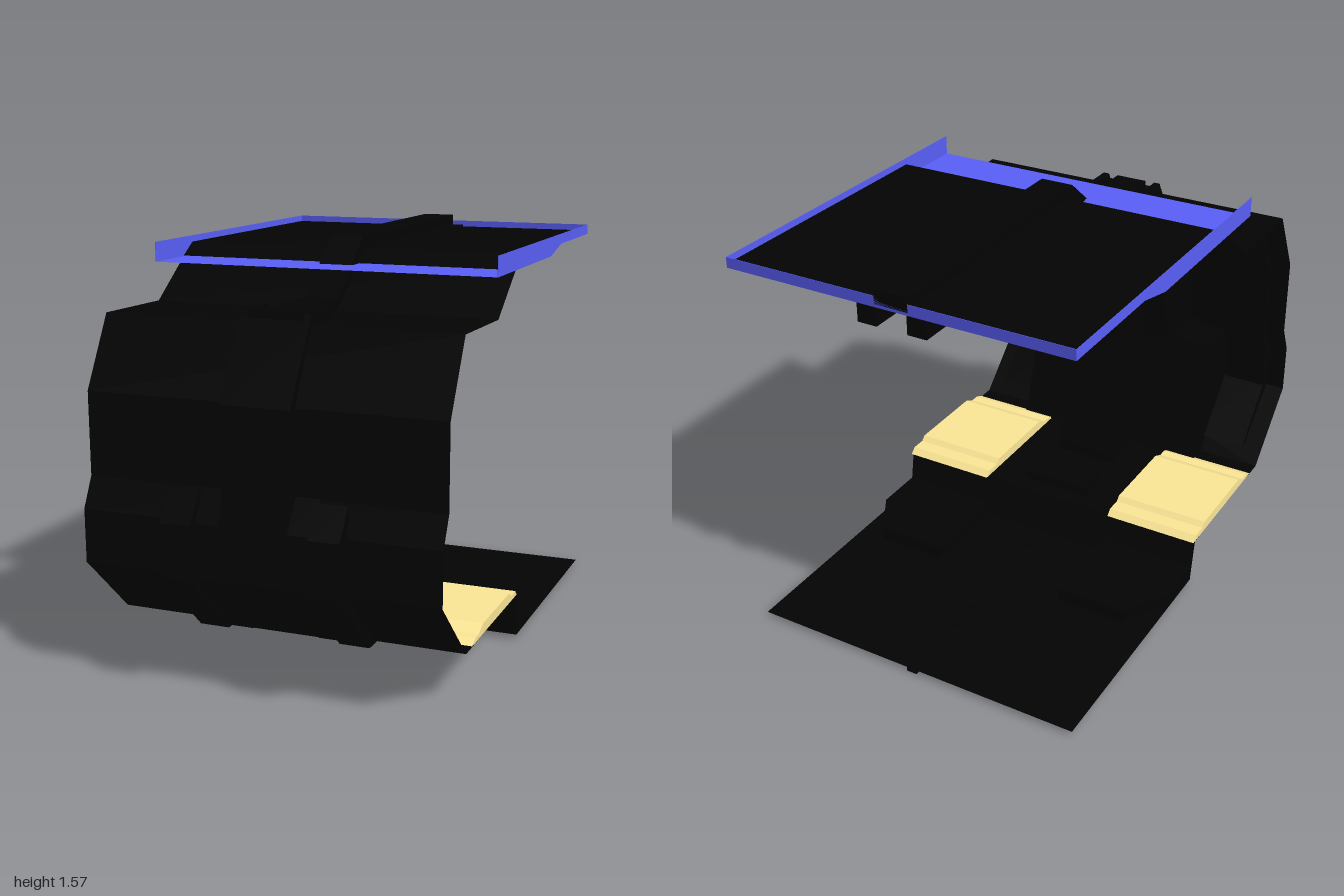
import * as THREE from 'three';

const material = (color) => new THREE.MeshStandardMaterial({
  color, flatShading: true, side: THREE.DoubleSide,
});
const BLACK = material(0x030303);
const BLUE = material(0x5a60fa);
const TAN = material(0xffea98);
const HALF = 0.676;

export function createModel() {
  const group = new THREE.Group();

  const add = (name, geometry, mat) => {
    const mesh = new THREE.Mesh(geometry, mat);
    mesh.name = name;
    group.add(mesh);
  };

  // Solid: closed [z, y] outline swept from x0 to x1
  const solid = (name, x0, x1, outline, mat = BLACK) => {
    const shape = new THREE.Shape(outline.map(([z, y]) => new THREE.Vector2(z, y)));
    const geo = new THREE.ExtrudeGeometry(shape, { depth: x1 - x0, bevelEnabled: false });
    geo.rotateY(-Math.PI / 2).translate(x1, 0, 0);
    add(name, geo, mat);
  };

  // The same solid on both sides of the centre
  const pair = (name, x0, x1, outline, mat) => {
    solid(name + 'Left', x0, x1, outline, mat);
    solid(name + 'Right', -x1, -x0, outline, mat);
  };

  // Thin sheet: open [z, y] line swept from x0 to x1
  const sheet = (name, x0, x1, line, mat = BLACK) => {
    const geo = new THREE.PlaneGeometry(1, 1, 1, line.length - 1);
    const pos = geo.attributes.position;
    for (let i = 0; i < pos.count; i++) {
      const [z, y] = line[Math.floor(i / 2)];
      pos.setXYZ(i, i % 2 ? x1 : x0, y, z);
    }
    add(name, geo.toNonIndexed(), mat);
  };

  const box = (name, x0, x1, y0, y1, z0, z1, mat) =>
    solid(name, x0, x1, [[z0, y0], [z1, y0], [z1, y1], [z0, y1]], mat);

  // Curved front wall, from the roof joint down to the raised floor
  sheet('frontWall', -HALF, HALF, [
    [0.15, 1.465], [0.36, 1.315], [0.74, 1.32], [0.885, 1.06], [0.885, 0.75],
    [0.94, 0.64], [0.94, 0.44], [0.67, 0.185], [0.58, 0.185],
  ]);

  // Central column with the spine on its outer face
  solid('centreColumn', -0.13, 0.13, [
    [0.74, 1.32], [0.76, 1.335], [0.93, 1.06], [0.93, 0.75], [0.955, 0.64], [0.955, 0.44],
    [0.7, 0.18], [0.38, 0.18], [0.38, 0.23], [0.49, 0.75], [0.32, 0.9],
    [0.32, 1.06], [0.54, 1.32],
  ]);

  // Spine cap on the top ledge: a broad middle strip between two fins
  box('spineCap', -0.065, 0.065, 1.315, 1.36, 0.36, 0.745);
  pair('spineFin', 0.105, 0.13, [[0.55, 1.315], [0.58, 1.36], [0.745, 1.36], [0.77, 1.315]]);
  solid('spineTop', -0.065, 0.065, [[0.36, 1.36], [0.36, 1.31], [0.13, 1.46], [0.16, 1.5]]);

  // Stepped flanks of the column, wider low down, and shallow back pads
  pair('upperFlank', 0.13, 0.25, [
    [0.7, 1.31], [0.87, 1.05], [0.87, 0.7], [0.66, 0.7], [0.58, 0.9], [0.58, 1.05], [0.63, 1.25],
  ]);
  pair('lowerFlank', 0.13, 0.42, [
    [0.89, 0.7], [0.93, 0.64], [0.93, 0.44], [0.66, 0.19], [0.58, 0.19], [0.66, 0.44], [0.69, 0.7],
  ]);
  pair('backPad', 0.3, 0.6, [
    [0.7, 1.3], [0.87, 1.05], [0.87, 0.75], [0.93, 0.64], [0.93, 0.44], [0.72, 0.25],
    [0.69, 0.25], [0.89, 0.46], [0.89, 0.62], [0.845, 0.74], [0.845, 1.04], [0.69, 1.3],
  ]);

  // Stepped ribs on the lower outside of the front wall
  pair('innerRib', 0.13, 0.22, [
    [0.88, 0.76], [0.965, 0.64], [0.965, 0.44], [0.7, 0.178], [0.6, 0.178], [0.66, 0.19], [0.9, 0.5],
  ]);
  pair('outerRib', 0.22, 0.335, [
    [0.92, 0.75], [1.0, 0.64], [1.0, 0.44], [0.72, 0.175], [0.6, 0.175], [0.66, 0.19], [0.88, 0.5],
  ]);

  // Raised floor between the benches, with its riser
  box('raisedFloor', -0.29, 0.29, 0.175, 0.188, 0.07, 0.68);
  sheet('floorRiser', -HALF, HALF, [[0.07, 0.187], [0.03, 0.187], [0.0, 0.02]]);
  solid('floorBlock', -0.15, 0.15, [
    [0.1, 0.188], [0.1, 0.225], [0.12, 0.255], [0.22, 0.255], [0.22, 0.188],
  ]);

  // Benches
  pair('bench', 0.29, HALF, [
    [0.6, 0.188], [0.56, 0.205], [0.52, 0.205], [0.47, 0.228], [0.12, 0.228],
    [0.1, 0.21], [0.04, 0.21], [0.015, 0.188],
  ], TAN);

  // Lower floor, split by a shallow channel that is interrupted twice
  pair('lowerFloor', 0.02, HALF, [[0.005, 0.018], [0.005, 0.02], [-1, 0.02], [-1, 0.018]]);
  for (const [z0, z1] of [[-0.1, 0.005], [-0.575, -0.52], [-0.7, -0.65]]) {
    sheet('channelBridge', -0.02, 0.02, [[z1, 0.02], [z0, 0.02]]);
  }
  for (const [z0, z1] of [[-0.52, -0.1], [-0.65, -0.575], [-1, -0.7]]) {
    sheet('channelBase', -0.02, 0.02, [[z1, 0.02], [z1, 0], [z0, 0], [z0, z0 > -1 ? 0.02 : 0]]);
    pair('channelSide', 0.019, 0.021, [[z0, 0], [z1, 0], [z1, 0.02], [z0, 0.02]]);
  }

  // Foot blocks with cut corners
  for (const s of [-1, 1]) {
    const plan = [[0.28, 0], [0.67, 0], [0.67, 0.2], [0.56, 0.38], [0.28, 0.38]];
    const shape = new THREE.Shape(plan.map(([x, d]) => new THREE.Vector2(s * x, d)));
    const geo = new THREE.ExtrudeGeometry(shape, { depth: 0.055, bevelEnabled: false });
    geo.rotateX(-Math.PI / 2).translate(0, 0.02, 0);
    add(s > 0 ? 'footBlockLeft' : 'footBlockRight', geo, BLACK);
  }

  // Roof tray with side and back lips
  sheet('roofTray', -HALF, HALF, [[0.375, 1.465], [-0.37, 1.465], [-0.53, 1.5], [-1, 1.5]], BLUE);
  pair('roofLip', HALF - 0.002, HALF, [
    [0.375, 1.465], [0.375, 1.54], [-1, 1.54], [-1, 1.5], [-0.53, 1.5], [-0.37, 1.465],
  ], BLUE);
  box('roofBackLip', -HALF, HALF, 1.5, 1.54, -1, -0.998, BLUE);

  // Roof panel, raised ridge on top and the ridge's narrow foot
  sheet('roofPanel', 0.002 - HALF, HALF - 0.002, [[0.155, 1.467], [0.08, 1.515], [-0.997, 1.515]]);
  solid('roofRidge', -0.065, 0.065, [
    [0.22, 1.468], [0.1, 1.565], [-1, 1.565], [-1, 1.51], [0.06, 1.51], [0.12, 1.468],
  ]);
  box('ridgeFoot', -0.112, 0.112, 1.51, 1.522, -0.997, 0.07);

  // Beams hanging below the roof
  pair('roofBeam', 0.06, 0.135, [
    [0.095, 1.464], [0.095, 1.43], [-0.08, 1.297], [-0.26, 1.297], [-0.43, 1.43],
    [-1, 1.43], [-1, 1.498], [-0.53, 1.498], [-0.37, 1.463],
  ]);

  return group;
}
